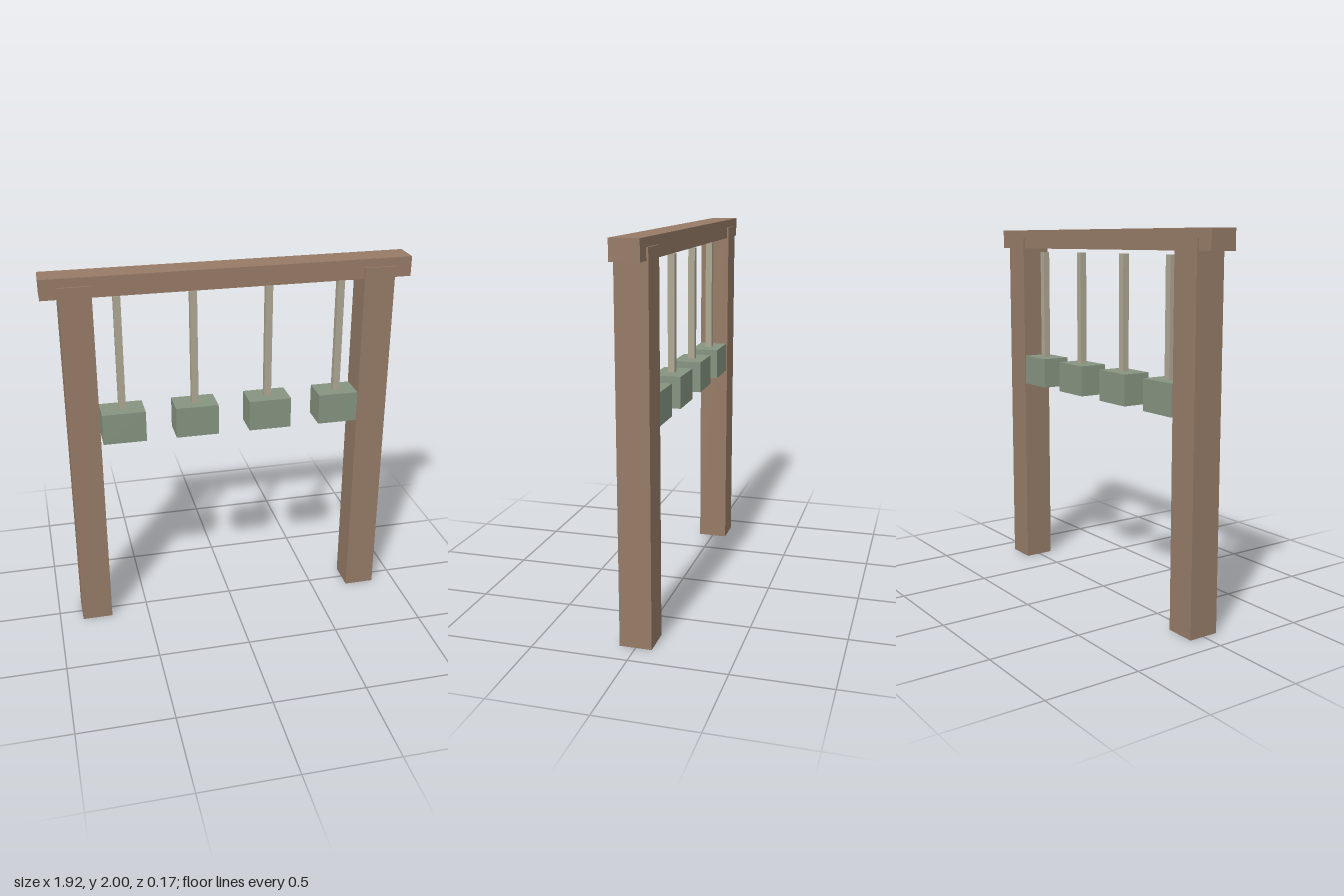
import * as THREE from 'three';

const paint = (color) => new THREE.MeshStandardMaterial({ color });

export function createModel() {
  const model = new THREE.Group();
  const wood = paint(0x967b66);
  const cord = paint(0xaea793);
  const stone = paint(0x869480);

  // Box given by size, x centre and bottom height
  function box(name, w, h, d, x, bottom, material, parent = model) {
    const mesh = new THREE.Mesh(new THREE.BoxGeometry(w, h, d), material);
    mesh.name = name;
    mesh.position.set(x, bottom + h / 2, 0);
    parent.add(mesh);
  }

  // Frame: two posts set into a crossbeam
  box('rightPost', 0.165, 1.955, 0.166, -0.79, 0, wood);
  box('leftPost', 0.165, 1.955, 0.166, 0.788, 0, wood);
  box('crossbeam', 1.922, 0.105, 0.147, 0, 1.895, wood);

  // Row of hanging blocks, each on a square rod ending just under the beam
  [-0.58, -0.189, 0.212, 0.602].forEach((x, i) => {
    const hanger = new THREE.Group();
    hanger.name = `hanger${i + 1}`;
    box('rod', 0.037, 0.617, 0.037, x, 1.258, cord, hanger);
    box('block', 0.23, 0.168, 0.157, x, 1.09, stone, hanger);
    model.add(hanger);
  });

  return model;
}
